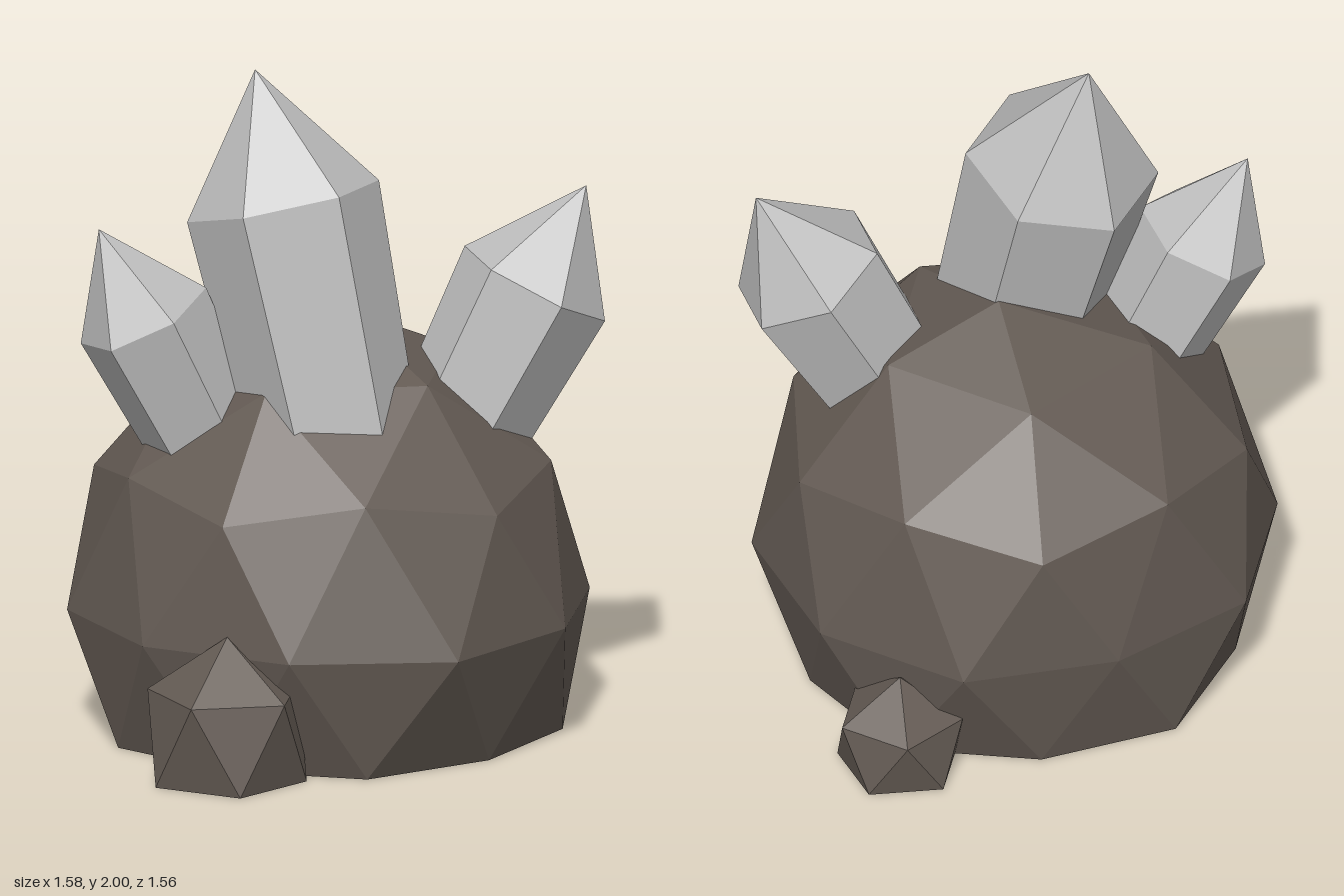
import * as THREE from 'three';

const stone = new THREE.MeshStandardMaterial({ color: 0x635a53, flatShading: true });
stone.name = 'brown stone';
const quartz = new THREE.MeshStandardMaterial({ color: 0xbcbcbc, flatShading: true });
quartz.name = 'pale crystal';

// Faceted ball standing on a pole, sunk into the ground with a flat underside
function rock(name, detail, centre, rx, ry, adjust) {
  const geo = new THREE.IcosahedronGeometry(1, detail);
  geo.rotateZ(Math.PI / 2 - Math.atan2((1 + Math.sqrt(5)) / 2, 1)); // one corner to the top
  geo.rotateY(Math.PI);
  const pos = geo.attributes.position;
  const unit = new THREE.Vector3();
  const p = new THREE.Vector3();
  for (let i = 0; i < pos.count; i++) {
    unit.fromBufferAttribute(pos, i);
    p.set(unit.x * rx, unit.y * ry, unit.z * rx).add(centre);
    if (adjust) adjust(unit, p);
    pos.setXYZ(i, p.x, Math.max(0, p.y), p.z);
  }
  geo.computeVertexNormals();
  const mesh = new THREE.Mesh(geo, stone);
  mesh.name = name;
  return mesh;
}

// Six-sided crystal: tapering shaft below the shoulder, pyramid up to the tip
function crystal(name, tip, shoulder, radius, footRadius, length, phase) {
  const axis = tip.clone().sub(shoulder);
  const profile = [
    [0, -length], [footRadius, -length], [radius, 0], [0, axis.length()],
  ].map(([x, y]) => new THREE.Vector2(x, y));
  const geo = new THREE.LatheGeometry(profile, 6, THREE.MathUtils.degToRad(phase));
  const mesh = new THREE.Mesh(geo, quartz);
  mesh.name = name;
  mesh.position.copy(shoulder);
  mesh.quaternion.setFromUnitVectors(new THREE.Vector3(0, 1, 0), axis.normalize());
  return mesh;
}

export function createModel() {
  const v = (x, y, z) => new THREE.Vector3(x, y, z);
  const model = new THREE.Group();
  model.name = 'crystalRock';

  // Main boulder, with the peak and the front and back corners nudged
  model.add(rock('boulder', 1, v(0.015, 0.37, -0.05), 0.78, 0.85, (unit, p) => {
    if (unit.y > 0.99) p.set(0.08, 1.24, -0.08);
    if (Math.abs(unit.y) < 0.05 && Math.abs(unit.x) < 0.05) p.z = Math.sign(unit.z) * 0.78;
  }));

  // Small stones at the foot
  model.add(rock('frontStone', 0, v(-0.56, 0.13, 0.41), 0.265, 0.3));
  model.add(rock('backStone', 0, v(0.6, 0.08, -0.51), 0.21, 0.23));

  // Crystals
  model.add(crystal('tallCrystal', v(-0.21, 2, -0.085), v(-0.165, 1.615, 0.007), 0.29, 0.25, 0.8, 9));
  model.add(crystal('leftCrystal', v(0.72, 1.61, 0.24), v(0.57, 1.32, 0.2), 0.235, 0.19, 0.62, -7));
  model.add(crystal('rightCrystal', v(-0.7, 1.56, -0.14), v(-0.57, 1.29, -0.105), 0.205, 0.17, 0.55, 0));

  return model;
}
